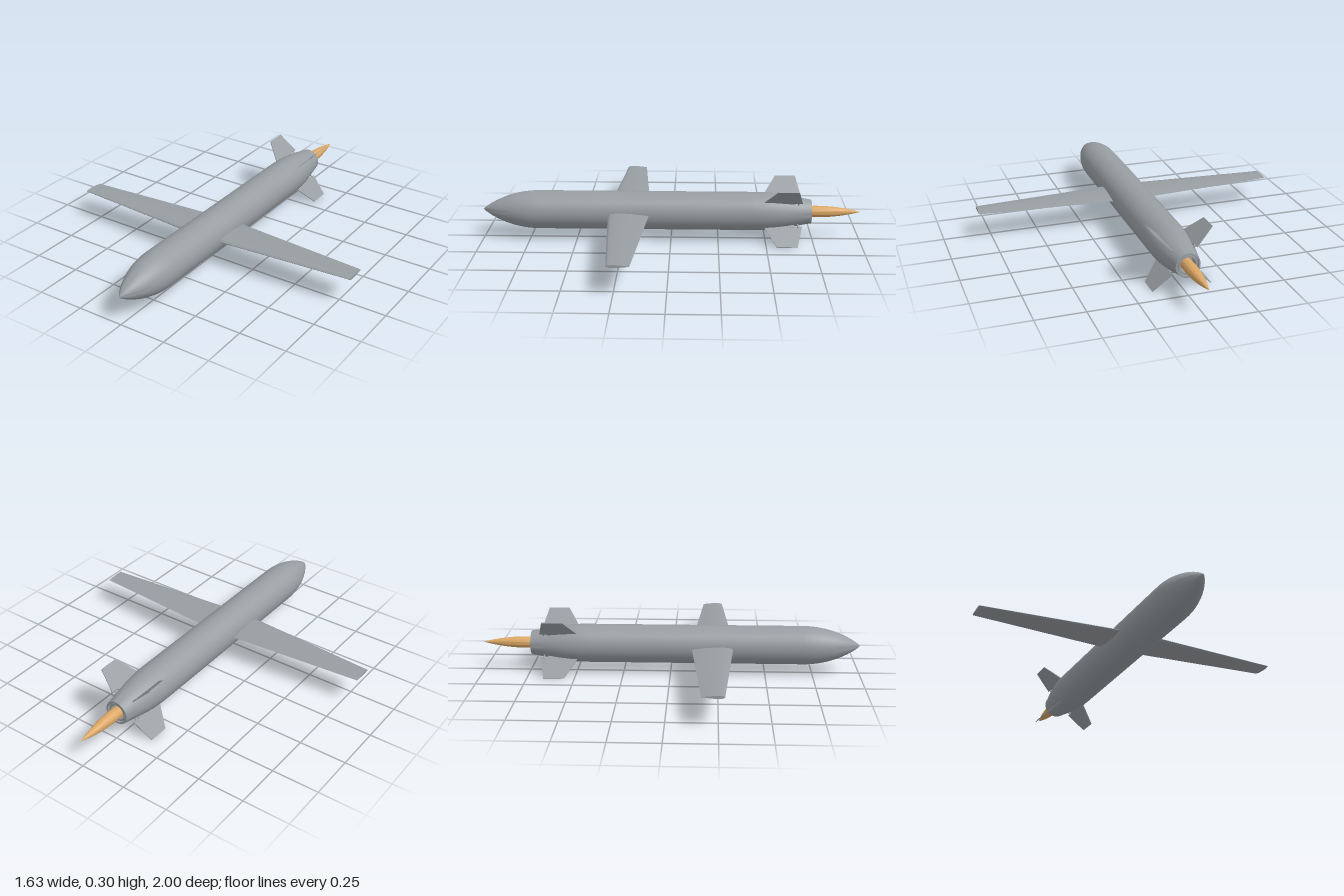
import * as THREE from 'three';
import { toCreasedNormals } from 'three/addons/utils/BufferGeometryUtils.js';

const AXIS_Y = 0.152; // height of the fuselage centreline

const bodyGrey = new THREE.MeshStandardMaterial({ color: 0x989da1 });
const flameOrange = new THREE.MeshStandardMaterial({ color: 0xdca866 });

// Turned part along z from [radius, z] points, listed back to front
function turned(name, points, material) {
  const lathe = new THREE.LatheGeometry(points.map(([r, z]) => new THREE.Vector2(r, z)), 48);
  lathe.rotateX(Math.PI / 2);
  const mesh = new THREE.Mesh(toCreasedNormals(lathe, 0.5), material);
  mesh.name = name;
  return mesh;
}

// Outline of [z, y] points extruded along x
function extrudeX(points, depth) {
  const shape = new THREE.Shape(points.map(([z, y]) => new THREE.Vector2(-z, y)));
  return new THREE.ExtrudeGeometry(shape, { depth, bevelEnabled: false }).rotateY(Math.PI / 2);
}

// Tapered wing with a symmetric airfoil, running from the centreline to the tip
function wingGeometry() {
  const span = 0.816, n = 14, upper = [], lower = [];
  for (let i = 0; i <= n; i++) {
    const t = (1 - Math.cos(Math.PI * i / n)) / 2; // 0 leading edge, 1 trailing edge
    const h = 2.969 * Math.sqrt(t) - 1.26 * t - 3.516 * t ** 2 + 2.843 * t ** 3 - 1.036 * t ** 4;
    upper.push([-t, h]);
    if (i > 0 && i < n) lower.unshift([-t, -h]);
  }
  const geo = extrudeX([...upper, ...lower], span);
  const p = geo.attributes.position;
  for (let i = 0; i < p.count; i++) {
    const k = p.getX(i) / span;
    const front = THREE.MathUtils.lerp(0.336, 0.279, k);
    const back = THREE.MathUtils.lerp(0.107, 0.169, k);
    const half = THREE.MathUtils.lerp(0.0142, 0.007, k);
    p.setXYZ(i, p.getX(i), p.getY(i) * half, THREE.MathUtils.lerp(front, back, -p.getZ(i)));
  }
  return toCreasedNormals(geo, 0.7);
}

export function createModel() {
  const model = new THREE.Group();
  model.name = 'wingedMissile';
  const craft = new THREE.Group();
  craft.name = 'airframe';
  craft.position.y = AXIS_Y;
  model.add(craft);

  // Fuselage: curved boat tail, straight tube and ogive nose
  const profile = [[0.063, -0.74], [0.07, -0.70], [0.081, -0.645], [0.091, -0.59], [0.0982, -0.53],
    [0.1008, -0.48], [0.1015, -0.43], [0.1015, 0.70]];
  for (let i = 1; i <= 18; i++) {
    const t = Math.sin(i / 18 * Math.PI / 2);
    profile.push([i < 18 ? 0.1015 * (1 - t ** 2) ** 0.87 : 0, 0.70 + 0.3 * t]);
  }
  craft.add(turned('fuselage', profile, bodyGrey));

  // Hollow exhaust with a stepped rim
  craft.add(turned('exhaustNozzle', [[0, -0.69], [0.04, -0.69], [0.04, -0.735], [0.048, -0.735],
    [0.048, -0.725], [0.054, -0.725], [0.054, -0.74], [0.063, -0.74]], bodyGrey));

  // Exhaust flame
  const flame = [];
  for (let i = 0; i <= 14; i++) {
    const t = i / 14;
    flame.push([0.0305 * (1 - (1 - t) ** 2.1), -1 + 0.24 * t]);
  }
  flame.push([0.028, -0.69]);
  craft.add(turned('exhaustFlame', flame, flameOrange));

  // Main wings, one turned half a circle about the axis
  const wing = wingGeometry();
  ['leftWing', 'rightWing'].forEach((name, i) => {
    const mesh = new THREE.Mesh(wing, bodyGrey);
    mesh.name = name;
    mesh.rotation.z = i * Math.PI;
    craft.add(mesh);
  });

  // Four tail fins in an X, each notched at the rear root around a short pivot
  const fin = extrudeX([[-0.492, 0.1], [-0.555, 0.213], [-0.663, 0.213], [-0.69, 0.09],
    [-0.655, 0.091], [-0.645, 0.08]], 0.004).translate(-0.002, 0, 0);
  const pivot = new THREE.CylinderGeometry(0.004, 0.004, 0.035, 10).translate(0, 0.08, -0.668);
  for (let i = 0; i < 4; i++) {
    const finGroup = new THREE.Group();
    finGroup.name = 'tailFin' + (i + 1);
    const blade = new THREE.Mesh(fin, bodyGrey);
    blade.name = 'finBlade';
    const stub = new THREE.Mesh(pivot, bodyGrey);
    stub.name = 'finPivot';
    finGroup.add(blade, stub);
    finGroup.rotation.z = Math.PI / 4 + i * Math.PI / 2;
    craft.add(finGroup);
  }
  return model;
}
